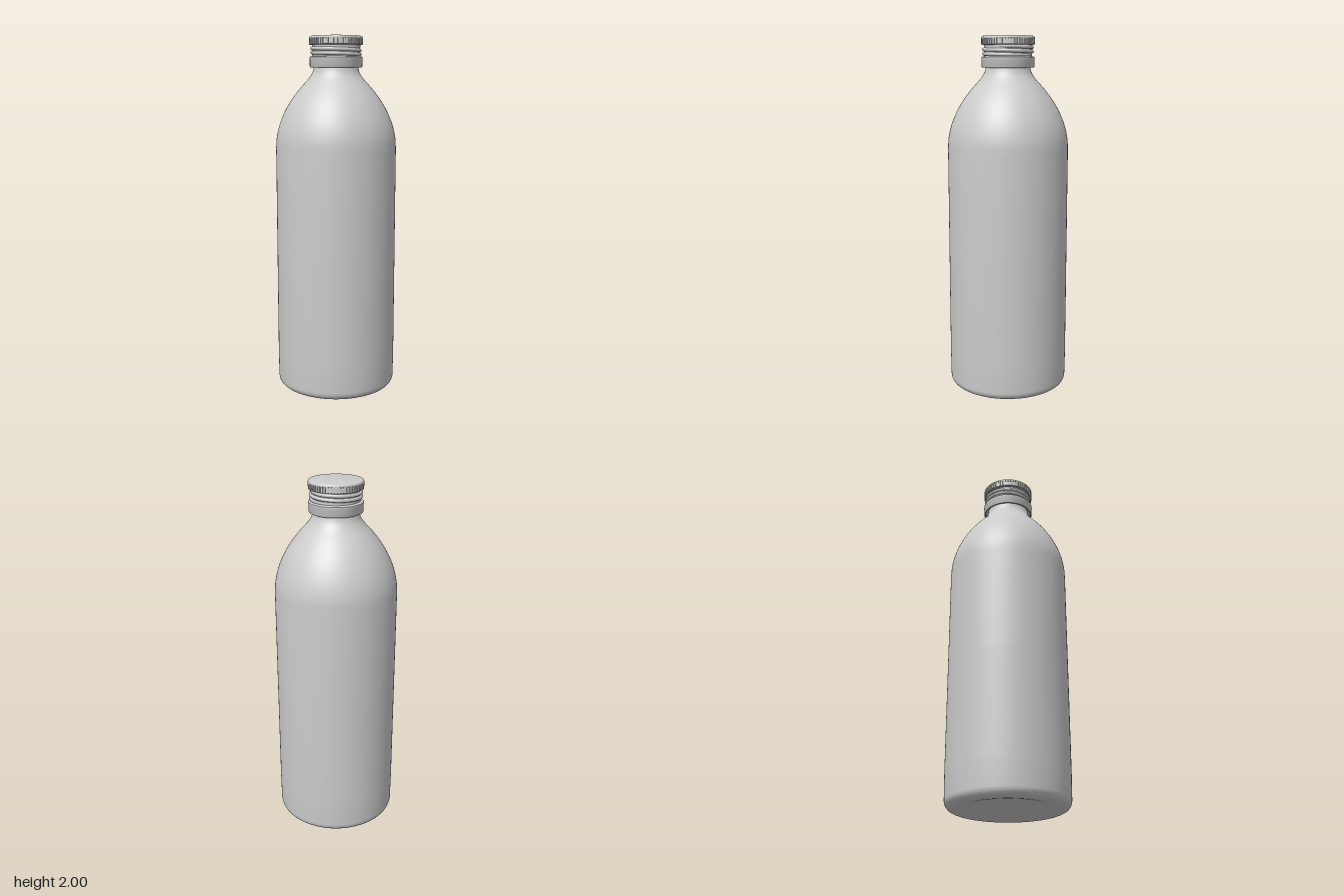
import * as THREE from 'three';
import { mergeGeometries, toCreasedNormals } from 'three/addons/utils/BufferGeometryUtils.js';

const material = new THREE.MeshStandardMaterial({ color: 0xcccccc, side: THREE.DoubleSide });

function addMesh(group, name, geometry) {
  const mesh = new THREE.Mesh(geometry, material);
  mesh.name = name;
  group.add(mesh);
}

// Turned part from [radius, height] pairs; enlarged while creasing to keep fine detail apart
function turned(points, segments = 96) {
  const profile = points.map(([r, y]) => new THREE.Vector2(r, y));
  const geometry = new THREE.LatheGeometry(profile, segments).scale(100, 100, 100);
  return toCreasedNormals(geometry, 0.6).scale(0.01, 0.01, 0.01);
}

// Smooth run of [radius, height] pairs through the given ones
function smooth(points, count) {
  const curve = new THREE.CatmullRomCurve3(points.map(([r, y]) => new THREE.Vector3(r, y, 0)));
  return curve.getPoints(count).map((p) => [p.x, p.y]);
}

function createBottle() {
  const bottle = new THREE.Group();
  bottle.name = 'bottle';

  // Shallow dished base, rounded heel, straight wall, domed shoulder and neck
  const heel = [];
  for (let i = 0; i <= 8; i++) {
    const a = (i / 8) * Math.PI / 2;
    heel.push([0.288 + 0.048 * Math.sin(a), 0.048 - 0.048 * Math.cos(a)]);
  }
  const shoulder = smooth([
    [0.338, 1.38], [0.334, 1.44], [0.318, 1.51], [0.29, 1.58], [0.25, 1.65],
    [0.2, 1.715], [0.155, 1.765], [0.132, 1.8], [0.122, 1.835],
  ], 32);
  addMesh(bottle, 'body', turned([
    [0, 0.03], [0.1, 0.026], [0.2, 0.014], [0.265, 0.002],
    ...heel, [0.338, 0.2], [0.338, 0.8], ...shoulder, [0.122, 1.87],
  ]));
  return bottle;
}

function createCap() {
  const cap = new THREE.Group();
  cap.name = 'cap';

  // Lower sealing ring, open underneath around the neck
  addMesh(cap, 'sealingRing', turned([
    [0.122, 1.845], [0.136, 1.845], [0.137, 1.828], [0.143, 1.828], [0.146, 1.833],
    [0.146, 1.872], [0.148, 1.877], [0.147, 1.884], [0.141, 1.889], [0.132, 1.89],
  ]));

  // Core behind the thread
  addMesh(cap, 'threadCore', turned([[0.132, 1.88], [0.132, 1.958]]));

  // Rolled spiral thread
  const path = [];
  for (let i = 0; i <= 64; i++) {
    const a = (i / 64) * Math.PI * 2 * 2.2;
    const lead = Math.min(1, i / 5, (64 - i) / 5);
    path.push(new THREE.Vector3(
      Math.cos(a) * (0.124 + 0.008 * lead), 1.895 + 0.05 * i / 64,
      Math.sin(a) * (0.124 + 0.008 * lead)));
  }
  addMesh(cap, 'thread', new THREE.TubeGeometry(new THREE.CatmullRomCurve3(path), 220, 0.0105, 10));

  // Closed top with a rounded rim
  addMesh(cap, 'top', turned([
    [0.132, 1.95], [0.14, 1.952], [0.143, 1.956], [0.143, 1.984], [0.148, 1.986],
    [0.148, 1.991], [0.146, 1.996], [0.142, 1.999], [0.137, 2], [0, 2],
  ]));

  // Knurled grip
  const ribs = [];
  const count = 60;
  for (let i = 0; i < count; i++) {
    const rib = new THREE.BoxGeometry(0.009, 0.034, 0.01);
    ribs.push(rib.translate(0, 1.97, 0.143).rotateY((i / count) * Math.PI * 2));
  }
  addMesh(cap, 'gripRibs', mergeGeometries(ribs));
  return cap;
}

export function createModel() {
  const model = new THREE.Group();
  model.name = 'cappedBottle';
  model.add(createBottle(), createCap());
  return model;
}
